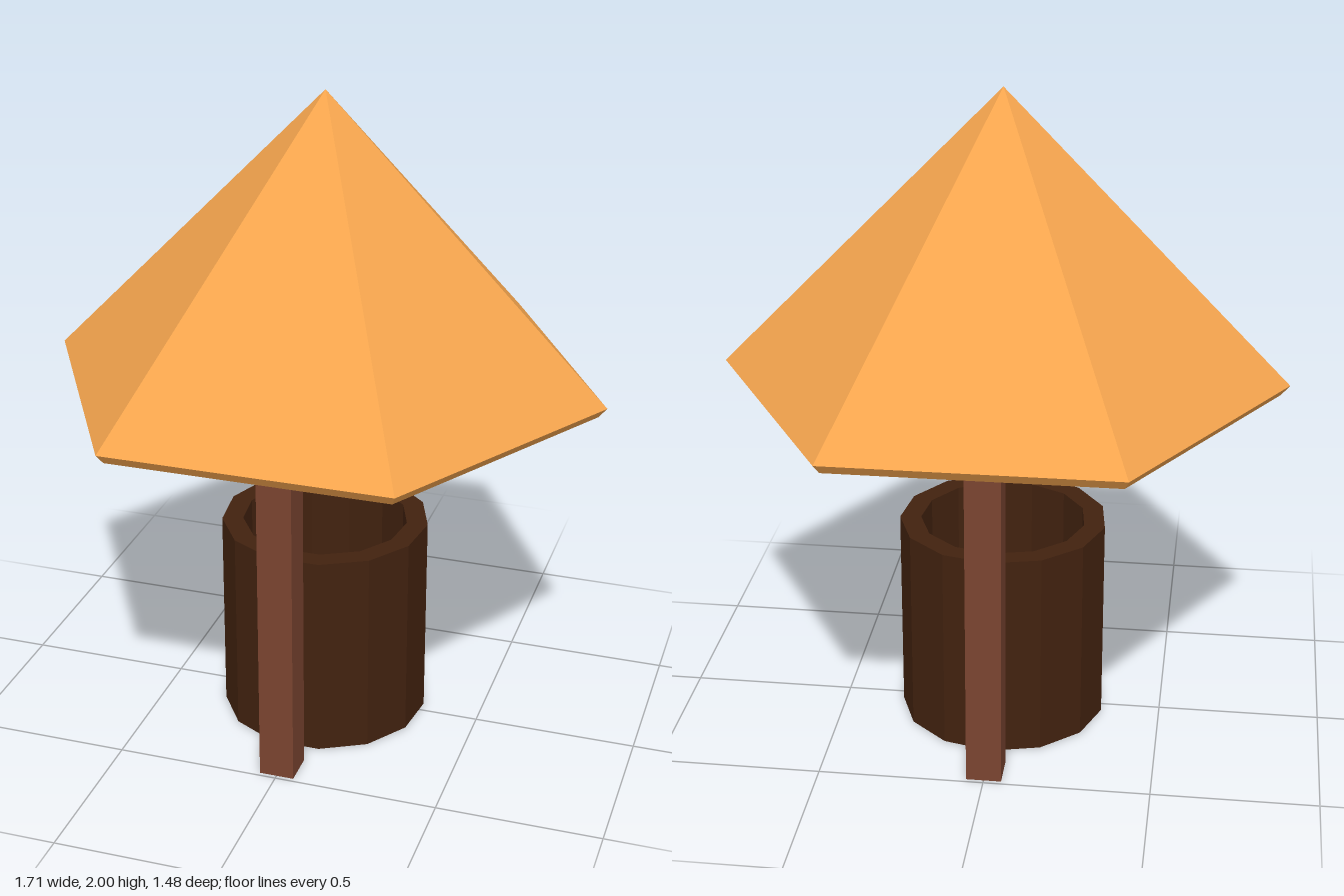
import * as THREE from 'three';

const paint = (color) => new THREE.MeshStandardMaterial({ color, flatShading: true });

// Faceted solid of revolution from [radius, height] pairs
function turned(name, profile, sides, start, material) {
  const points = profile.map(([r, y]) => new THREE.Vector2(r, y));
  const geometry = new THREE.LatheGeometry(points, sides, start).toNonIndexed();
  geometry.computeVertexNormals();
  const mesh = new THREE.Mesh(geometry, material);
  mesh.name = name;
  return mesh;
}

function box(name, w, h, d, y, z, material) {
  const mesh = new THREE.Mesh(new THREE.BoxGeometry(w, h, d), material);
  mesh.name = name;
  mesh.position.set(0, y, z);
  return mesh;
}

export function createModel() {
  const model = new THREE.Group();
  model.name = 'coveredWell';
  const timber = paint(0x7a4430);

  // Six-sided roof: a thin hollow shell with its rim cut square to the slope
  model.add(turned('roof', [
    [0, 1.946], [0.83, 1.095], [0.855, 1.125], [0, 2],
  ], 6, Math.PI / 2, paint(0xf5a54e)));

  // Thirteen-sided well wall with a closed bottom and an open top
  model.add(turned('wellWall', [
    [0, 0], [0.32, 0], [0.32, 0.645], [0.255, 0.645], [0.255, 0.06], [0, 0.06],
  ], 13, Math.PI, paint(0x42220f)));

  // Two posts carrying a crossbeam under the roof
  const thick = 0.106, postZ = 0.434, beamBottom = 1.305, beamTop = 1.405;
  const frame = new THREE.Group();
  frame.name = 'frame';
  for (const side of [1, -1]) {
    frame.add(box(side > 0 ? 'frontPost' : 'backPost',
      thick, beamBottom, thick, beamBottom / 2, side * postZ, timber));
  }
  frame.add(box('crossbeam', thick, beamTop - beamBottom, 2 * postZ + thick,
    (beamTop + beamBottom) / 2, 0, timber));
  model.add(frame);

  return model;
}
